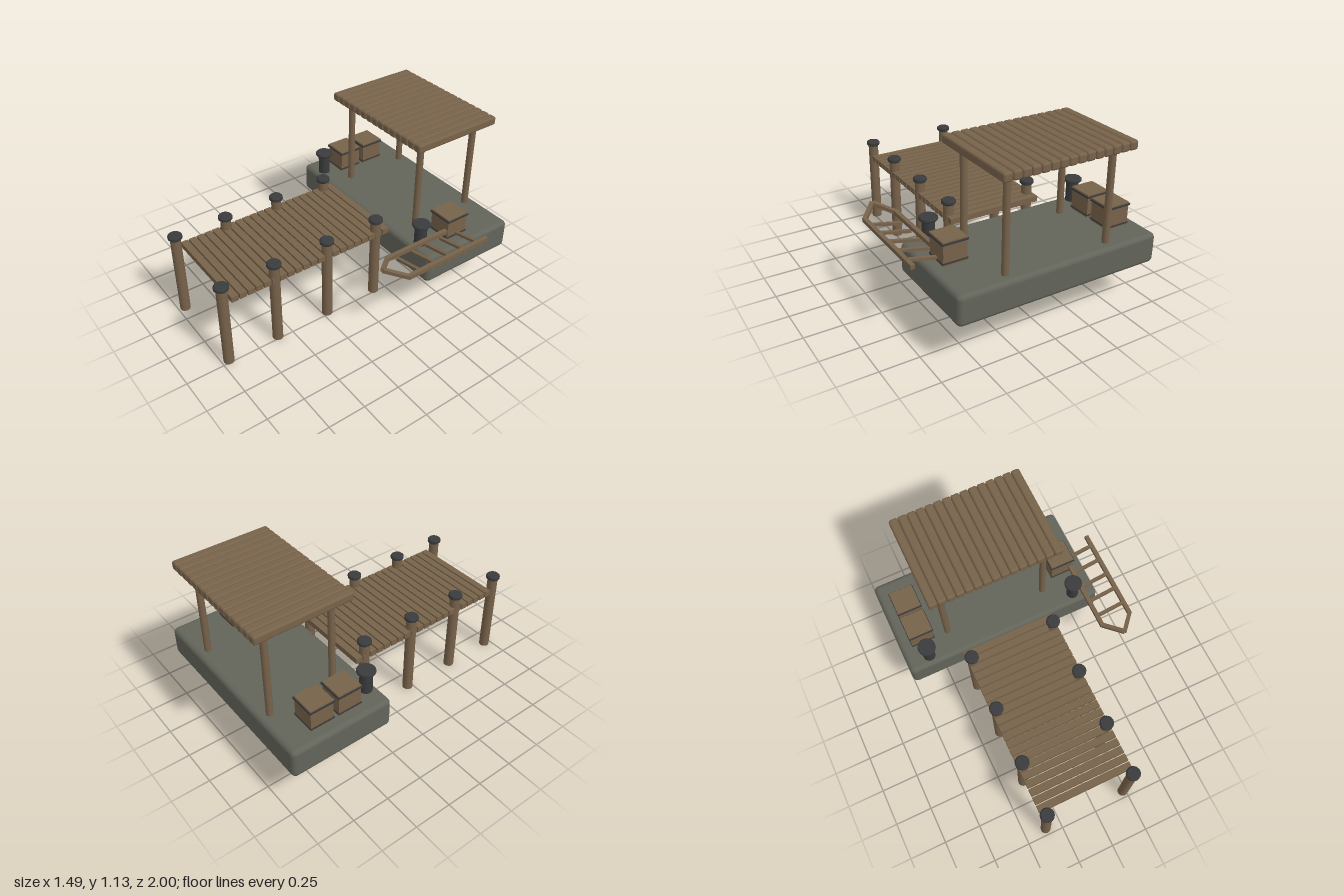
import * as THREE from 'three';
import { RoundedBoxGeometry } from 'three/addons/geometries/RoundedBoxGeometry.js';

const mat = (name, color) => {
  const m = new THREE.MeshStandardMaterial({ color });
  m.name = name;
  return m;
};

export function createModel() {
  const wood = mat('wood', 0x77624a);
  const stone = mat('stone', 0x62645a);
  const iron = mat('iron', 0x3a3b3c);

  const root = new THREE.Group();
  const group = (name) => {
    const g = new THREE.Group();
    g.name = name;
    root.add(g);
    return g;
  };
  const add = (parent, name, geo, m, x, y, z) => {
    const mesh = new THREE.Mesh(geo, m);
    mesh.name = name;
    mesh.position.set(x, y, z);
    parent.add(mesh);
    return mesh;
  };
  const box = (w, h, d) => new THREE.BoxGeometry(w, h, d);
  const post = (r, h) => new THREE.CylinderGeometry(r, r, h, 16);

  // Cap with a small bevel on both rims, from y = 0 to h
  const capGeo = (r, h) => {
    const b = h * 0.25;
    const pts = [[0, 0], [r - b, 0], [r, b], [r, h - b], [r - b, h], [0, h]];
    const g = new THREE.LatheGeometry(pts.map(p => new THREE.Vector2(...p)), 16).toNonIndexed();
    g.computeVertexNormals();
    return g;
  };

  // Square beam between two points
  const beam = (parent, name, a, b, w, h) => {
    const from = new THREE.Vector3(...a), to = new THREE.Vector3(...b);
    const mesh = add(parent, name, box(w, h, from.distanceTo(to)), wood, 0, 0, 0);
    mesh.position.copy(from).lerp(to, 0.5);
    mesh.lookAt(to);
    return mesh;
  };

  // Platform with a dark underside
  const platform = group('platform');
  add(platform, 'platformSlab', new RoundedBoxGeometry(1.375, 0.2, 0.695, 2, 0.032), stone, -0.0625, 0.371, -0.622);
  add(platform, 'platformUnderside', box(1.31, 0.004, 0.63), iron, -0.0625, 0.271, -0.622);

  // Canopy: posts and roof planks
  const canopy = group('canopy');
  for (const x of [-0.413, 0.29]) for (const z of [-0.453, -0.895])
    add(canopy, 'canopyPost', post(0.022, 0.63), wood, x, 0.775, z);
  const roofGeo = new RoundedBoxGeometry(0.058, 0.057, 0.642, 2, 0.014);
  for (let i = 0; i < 15; i++)
    add(canopy, 'roofPlank', roofGeo, wood, -0.472 + i * 0.0588, 1.104, -0.679);

  // Jetty: planks and capped piles
  const jetty = group('jetty');
  const plankGeo = box(0.645, 0.038, 0.046);
  for (let i = 0; i < 21; i++)
    add(jetty, 'jettyPlank', plankGeo, wood, -0.0625, 0.489, -0.226 + i * 0.0556);
  const pileGeo = post(0.034, 0.59), pileCap = capGeo(0.046, 0.033);
  for (const x of [-0.355, 0.23]) for (const z of [-0.165, 0.217, 0.6, 0.954]) {
    add(jetty, 'pile', pileGeo, wood, x, 0.295, z);
    add(jetty, 'pileCap', pileCap, iron, x, 0.573, z);
  }

  // Mooring bollards
  const bollards = group('bollards');
  const bollardCap = capGeo(0.059, 0.023);
  for (const x of [-0.592, 0.465]) {
    add(bollards, 'bollardBody', post(0.04, 0.15), iron, x, 0.535, -0.342);
    add(bollards, 'bollardCap', bollardCap, iron, x, 0.607, -0.342);
  }

  // Crates with dark bands and a lid
  const crates = group('crates');
  for (const [x, z] of [[-0.592, -0.713], [-0.592, -0.52], [0.465, -0.58]]) {
    add(crates, 'crateBody', box(0.155, 0.146, 0.155), wood, x, 0.543, z);
    add(crates, 'crateLowerBand', box(0.164, 0.009, 0.164), iron, x, 0.487, z);
    add(crates, 'crateUpperBand', box(0.17, 0.012, 0.17), iron, x, 0.61, z);
    add(crates, 'crateLid', box(0.16, 0.012, 0.16), wood, x, 0.618, z);
  }

  // Ladder with slanted rungs and a raised pointed end
  const ladder = group('ladder');
  const tip = [0.627, 0.568, 0.095];
  for (const x of [0.525, 0.73]) {
    beam(ladder, 'ladderRail', [x, 0.53, -0.66], [x, 0.53, -0.015], 0.027, 0.027);
    beam(ladder, 'ladderTip', [x, 0.53, -0.022], tip, 0.027, 0.024);
  }
  for (let i = 0; i < 5; i++)
    beam(ladder, 'ladderRung', [0.525, 0.492, -0.58 + i * 0.118], [0.73, 0.535, -0.58 + i * 0.118], 0.022, 0.018);

  return root;
}
